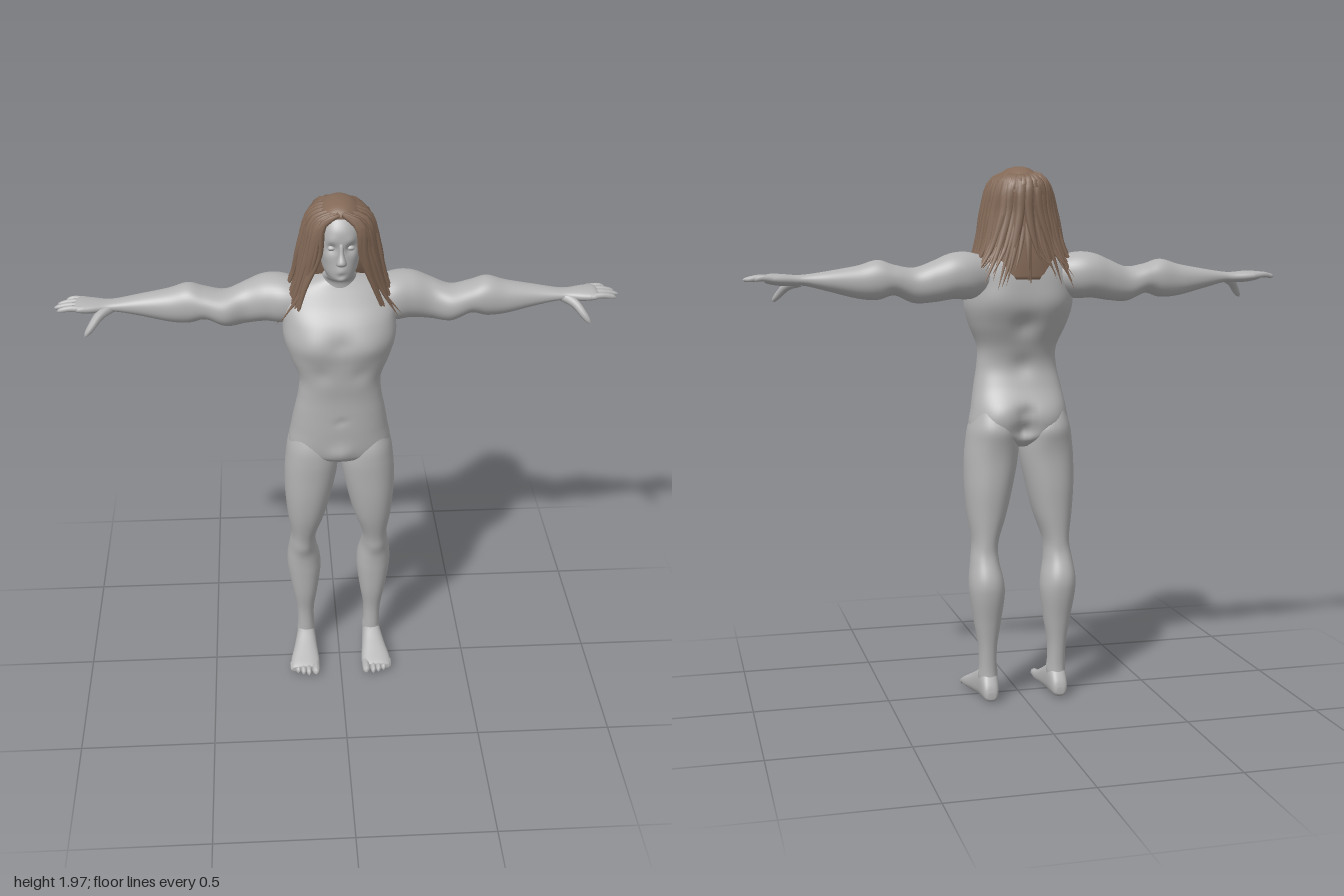
import * as THREE from 'three';
import { mergeVertices, mergeGeometries } from 'three/addons/utils/BufferGeometryUtils.js';

const skin = new THREE.MeshStandardMaterial({ color: 0xb3b3b3 });
skin.name = 'skin grey';
const brown = new THREE.MeshStandardMaterial({ color: 0x846a58 });
brown.name = 'hair brown';

// smooth interpolation through the rows of a profile table
function sampleRows(rows, s) {
  const i = Math.min(Math.floor(s), rows.length - 2), f = s - i;
  const at = k => rows[Math.max(0, Math.min(rows.length - 1, k))];
  return rows[0].map((_, c) => {
    const a = at(i - 1)[c], b = at(i)[c], d = at(i + 1)[c], e = at(i + 2)[c];
    return b + 0.5 * f * (d - a + f * (2 * a - 5 * b + 4 * d - e + f * (3 * (b - d) + e - a)));
  });
}

// closed body from rows [t, u0, u1, v0, v1] along an axis:
// y -> (u, v) = (x, z), x -> (z, y), z -> (y, x); bumps are [x, y, z, radius, amount]
function loft(axis, rows, { power = 0.9, sides = 40, steps = 6, bumps = [] } = {}) {
  const place = { y: (u, t, v) => [u, t, v], x: (u, t, v) => [t, v, u], z: (u, t, v) => [v, u, t] }[axis];
  const pos = [], idx = [], n = (rows.length - 1) * steps;
  const soft = w => Math.sign(w) * Math.abs(w) ** power;
  for (let i = 0; i <= n; i++) {
    const [t, u0, u1, v0, v1] = sampleRows(rows, i / steps);
    const cu = (u0 + u1) / 2, cv = (v0 + v1) / 2;
    const c = new THREE.Vector3(...place(cu, t, cv));
    for (let j = 0; j < sides; j++) {
      const a = (j / sides) * Math.PI * 2;
      const p = new THREE.Vector3(...place(cu + soft(Math.cos(a)) * (u1 - u0) / 2, t, cv + soft(Math.sin(a)) * (v1 - v0) / 2));
      const dir = p.clone().sub(c).normalize();
      let push = 0;
      for (const [x, y, z, r, amount] of bumps) {
        push += amount * Math.exp(-((p.x - x) ** 2 + (p.y - y) ** 2 + (p.z - z) ** 2) / (r * r));
      }
      pos.push(...p.addScaledVector(dir, push).toArray());
      if (i < n) {
        const q = i * sides + j, k = i * sides + (j + 1) % sides;
        idx.push(q, q + sides, k, k, q + sides, k + sides);
      }
    }
  }
  // end caps
  for (const [row, start] of [[rows[0], 0], [rows[rows.length - 1], n * sides]]) {
    const [t, u0, u1, v0, v1] = row, centre = pos.length / 3;
    pos.push(...place((u0 + u1) / 2, t, (v0 + v1) / 2));
    for (let j = 0; j < sides; j++) {
      const a = start + j, b = start + (j + 1) % sides;
      idx.push(centre, ...(start ? [b, a] : [a, b]));
    }
  }
  const g = new THREE.BufferGeometry();
  g.setAttribute('position', new THREE.Float32BufferAttribute(pos, 3));
  g.setIndex(idx);
  g.computeVertexNormals();
  return g;
}

// tube along points with radius(t); flat squashes it towards the head axis
function sweep(points, radius, segments = 12, sides = 8, flat = 1) {
  const curve = new THREE.CatmullRomCurve3(points.map(p => new THREE.Vector3(...p)));
  let g = new THREE.TubeGeometry(curve, segments, 1, sides);
  const pos = g.attributes.position, p = new THREE.Vector3();
  for (let i = 0; i < pos.count; i++) {
    const t = Math.floor(i / (sides + 1)) / segments, c = curve.getPointAt(t);
    p.fromBufferAttribute(pos, i).sub(c).multiplyScalar(radius(t));
    const out = new THREE.Vector3(c.x, 0, c.z + 0.02).normalize();
    p.addScaledVector(out, (flat - 1) * p.dot(out)).add(c);
    pos.setXYZ(i, p.x, p.y, p.z);
  }
  g.deleteAttribute('uv');
  g.deleteAttribute('normal');
  g = mergeVertices(g, 1e-5);
  g.computeVertexNormals();
  return g;
}

function mirrorX(geometry) {
  const g = geometry.clone().scale(-1, 1, 1), a = g.index.array;
  for (let i = 0; i < a.length; i += 3) [a[i], a[i + 1]] = [a[i + 1], a[i]];
  g.computeVertexNormals();
  return g;
}

const both = list => list.flatMap(b => [b, [-b[0], ...b.slice(1)]]);

export function createModel() {
  const model = new THREE.Group();
  model.name = 'standingFigure';
  const add = (name, g, material = skin) => {
    const mesh = new THREE.Mesh(g, material);
    mesh.name = name;
    model.add(mesh);
  };
  const pair = (name, g) => { add(name + 'Left', g); add(name + 'Right', mirrorX(g)); };
  const sym = rows => rows.map(([y, x, z0, z1]) => [y, -x, x, z0, z1]);

  // torso with chest, spine and seat shaping
  add('torso', loft('y', sym([
    [0.955, 0.07, -0.07, 0.05], [0.985, 0.14, -0.11, 0.09], [1.02, 0.186, -0.122, 0.103], [1.1, 0.177, -0.122, 0.112],
    [1.18, 0.163, -0.088, 0.116], [1.25, 0.15, -0.07, 0.12], [1.32, 0.148, -0.085, 0.13],
    [1.4, 0.18, -0.12, 0.138], [1.47, 0.2, -0.143, 0.142], [1.54, 0.2, -0.147, 0.122],
    [1.6, 0.2, -0.145, 0.08], [1.65, 0.165, -0.135, 0.05], [1.685, 0.08, -0.1, 0.03], [1.7, 0.04, -0.07, 0.01],
  ]), {
    power: 0.84, sides: 64, steps: 7,
    bumps: [
      ...both([[0.085, 1.47, 0.13, 0.06, 0.012], [0.085, 1.06, -0.12, 0.065, 0.018],
        [0.1, 1.5, -0.13, 0.07, 0.01], [0.07, 1.36, 0.13, 0.035, -0.006]]),
      [0, 1.02, -0.13, 0.035, -0.04], [0, 1.08, -0.13, 0.03, -0.02],
      [0, 1.4, -0.13, 0.045, -0.018], [0, 1.25, -0.07, 0.04, -0.01], [0, 1.48, 0.14, 0.03, -0.008],
      [0, 1.16, 0.115, 0.015, -0.006], [0, 1.02, 0.1, 0.035, 0.014],
    ],
  }));

  // legs
  pair('leg', loft('y', [
    [0.03, 0.102, 0.163, -0.12, -0.025], [0.1, 0.1, 0.165, -0.106, -0.022], [0.2, 0.1, 0.168, -0.112, -0.018],
    [0.3, 0.085, 0.184, -0.127, 0], [0.4, 0.072, 0.2, -0.146, 0.01], [0.46, 0.075, 0.202, -0.147, 0.015],
    [0.53, 0.089, 0.193, -0.126, 0.024], [0.6, 0.088, 0.185, -0.112, 0.045], [0.7, 0.055, 0.198, -0.115, 0.074],
    [0.8, 0.03, 0.206, -0.12, 0.09], [0.9, 0.01, 0.206, -0.12, 0.097], [0.97, 0.006, 0.2, -0.122, 0.1],
    [1.03, 0.02, 0.19, -0.122, 0.095], [1.1, 0.06, 0.165, -0.1, 0.07],
  ], {
    bumps: [[0.14, 0.54, 0.03, 0.035, 0.008], [0.1, 0.1, -0.06, 0.02, 0.005], [0.165, 0.09, -0.06, 0.02, 0.005],
      [0.14, 0.55, -0.125, 0.04, -0.006], [0.09, 1.02, -0.12, 0.06, 0.012]],
  }));

  // feet and toes
  pair('foot', loft('z', [
    [-0.132, 0.015, 0.04, 0.118, 0.148], [-0.122, 0.005, 0.07, 0.106, 0.16], [-0.09, 0, 0.11, 0.098, 0.167],
    [-0.04, 0, 0.115, 0.095, 0.172], [0.02, 0, 0.085, 0.09, 0.185], [0.07, 0, 0.06, 0.085, 0.198],
    [0.105, 0.002, 0.043, 0.086, 0.2], [0.12, 0.008, 0.034, 0.092, 0.194],
  ], { power: 0.8, sides: 28, steps: 4 }));
  const toes = [0, 1, 2, 3, 4].map(i => {
    const r = i ? 0.0115 : 0.016, x = i ? 0.108 + i * 0.021 : 0.101, z = 0.15 - i * i * 0.002;
    return sweep([[x, 0.028, 0.085], [x, 0.024, z - 0.02], [x, r, z]], t => r * Math.sqrt(1.001 - t ** 6), 10);
  });
  pair('toes', mergeGeometries(toes));

  // arms through to the palm
  pair('arm', loft('x', [
    [0.1, -0.11, 0.03, 1.53, 1.64], [0.19, -0.148, 0.035, 1.5, 1.665], [0.26, -0.154, 0.016, 1.5, 1.66],
    [0.33, -0.142, 0, 1.49, 1.635], [0.4, -0.13, 0.014, 1.487, 1.613], [0.47, -0.13, 0.01, 1.515, 1.624],
    [0.53, -0.13, 0.005, 1.5, 1.641], [0.6, -0.12, -0.005, 1.505, 1.622], [0.7, -0.105, -0.018, 1.53, 1.604],
    [0.78, -0.088, -0.022, 1.55, 1.592], [0.82, -0.088, -0.02, 1.552, 1.59], [0.87, -0.1, -0.006, 1.552, 1.594],
    [0.91, -0.104, 0, 1.558, 1.594], [0.928, -0.095, -0.01, 1.565, 1.585],
  ], { bumps: [[0.27, 1.64, -0.07, 0.07, 0.006], [0.4, 1.56, 0.01, 0.05, 0.005]] }));

  // fingers and thumb
  const fingers = [[-0.094, 0.962], [-0.069, 0.99], [-0.041, 1], [-0.013, 0.987]].map(([z, tip]) =>
    sweep([[0.895, 1.576, z], [0.94, 1.58, z], [tip, 1.572, z * 0.97]],
      t => 0.0125 * (1 - 0.25 * t) * Math.sqrt(1.001 - t ** 8), 14));
  fingers.push(sweep([[0.8, 1.568, -0.045], [0.84, 1.552, -0.012], [0.87, 1.52, 0.018], [0.893, 1.492, 0.033]],
    t => (0.02 - 0.008 * t) * Math.sqrt(1.001 - t ** 8), 14));
  pair('fingers', mergeGeometries(fingers));

  // neck and head with modelled face
  add('head', loft('y', sym([
    [1.58, 0.075, -0.1, 0.03], [1.64, 0.064, -0.09, 0.042], [1.69, 0.06, -0.088, 0.052], [1.715, 0.05, -0.09, 0.105],
    [1.745, 0.062, -0.1, 0.117], [1.8, 0.074, -0.12, 0.116], [1.85, 0.08, -0.125, 0.118],
    [1.9, 0.076, -0.118, 0.112], [1.94, 0.055, -0.09, 0.08], [1.962, 0.02, -0.04, 0.03],
  ]), {
    sides: 64, steps: 9,
    bumps: [...both([[0.032, 1.835, 0.11, 0.018, -0.013], [0.032, 1.863, 0.11, 0.018, 0.004], [0.05, 1.8, 0.09, 0.022, 0.004]]),
      [0, 1.755, 0.12, 0.016, 0.006], [0, 1.739, 0.12, 0.01, -0.005], [0, 1.722, 0.11, 0.016, 0.006]],
  }));
  add('nose', loft('y', sym([
    [1.775, 0.008, 0.1, 0.122], [1.782, 0.018, 0.1, 0.138], [1.795, 0.016, 0.1, 0.146],
    [1.82, 0.009, 0.1, 0.131], [1.85, 0.008, 0.1, 0.121], [1.865, 0.006, 0.1, 0.112],
  ]), { sides: 20, steps: 4 }));
  pair('eye', loft('y', [
    [1.822, 0.028, 0.036, 0.09, 0.095], [1.827, 0.02, 0.044, 0.085, 0.103],
    [1.834, 0.018, 0.046, 0.083, 0.107], [1.841, 0.022, 0.042, 0.085, 0.102], [1.845, 0.028, 0.036, 0.09, 0.096],
  ], { sides: 20, steps: 3 }));

  // hair mass behind the face
  add('hairMass', loft('y', sym([
    [1.57, 0.11, -0.15, -0.06], [1.64, 0.12, -0.15, -0.03], [1.72, 0.122, -0.145, 0.005], [1.8, 0.114, -0.14, 0.025],
    [1.88, 0.1, -0.134, 0.06], [1.935, 0.075, -0.11, 0.09], [1.965, 0.042, -0.07, 0.065], [1.974, 0.012, -0.03, 0.02],
  ]), { sides: 36, steps: 4 }), brown);

  // long locks falling from a centre parting
  let seed = 7;
  const rand = () => (seed = (seed * 16807) % 2147483647) / 2147483647;
  const locks = [], perSide = 38;
  for (const s of [-1, 1]) {
    for (let i = 0; i < perSide; i++) {
      const k = i / (perSide - 1), a = THREE.MathUtils.degToRad(38 + 142 * k);
      const sn = Math.sin(a), cs = Math.cos(a), wide = Math.max(sn, 0) ** 0.6;
      const j = () => (rand() - 0.5) * 0.016;
      const endY = 1.47 + 0.07 * k + rand() * 0.09;
      const points = [
        [s * 0.006, 1.966 - 0.02 * Math.abs(2 * k - 0.9), THREE.MathUtils.lerp(0.092, -0.09, k)],
        [s * sn * 0.098, 1.912 + j(), -0.005 + cs * 0.132],
        [s * (sn * 0.132 + j()), 1.8, -0.015 + cs * 0.125 + j()],
        [s * (wide * 0.165 + j()), 1.665, Math.max(-0.152, -0.032 + cs * 0.12) + j() / 2],
        [s * (wide * 0.235 + j() * 2), endY, Math.max(-0.158, -0.05 + cs * 0.125) + j() / 2],
      ];
      const r = 0.013 + rand() * 0.007;
      locks.push(sweep(points, t => r * (0.35 + 0.65 * Math.min(1, t * 5)) * (1.02 - t ** 2.5), 18, 6, 0.6));
    }
  }
  add('hairLocks', mergeGeometries(locks), brown);

  return model;
}
